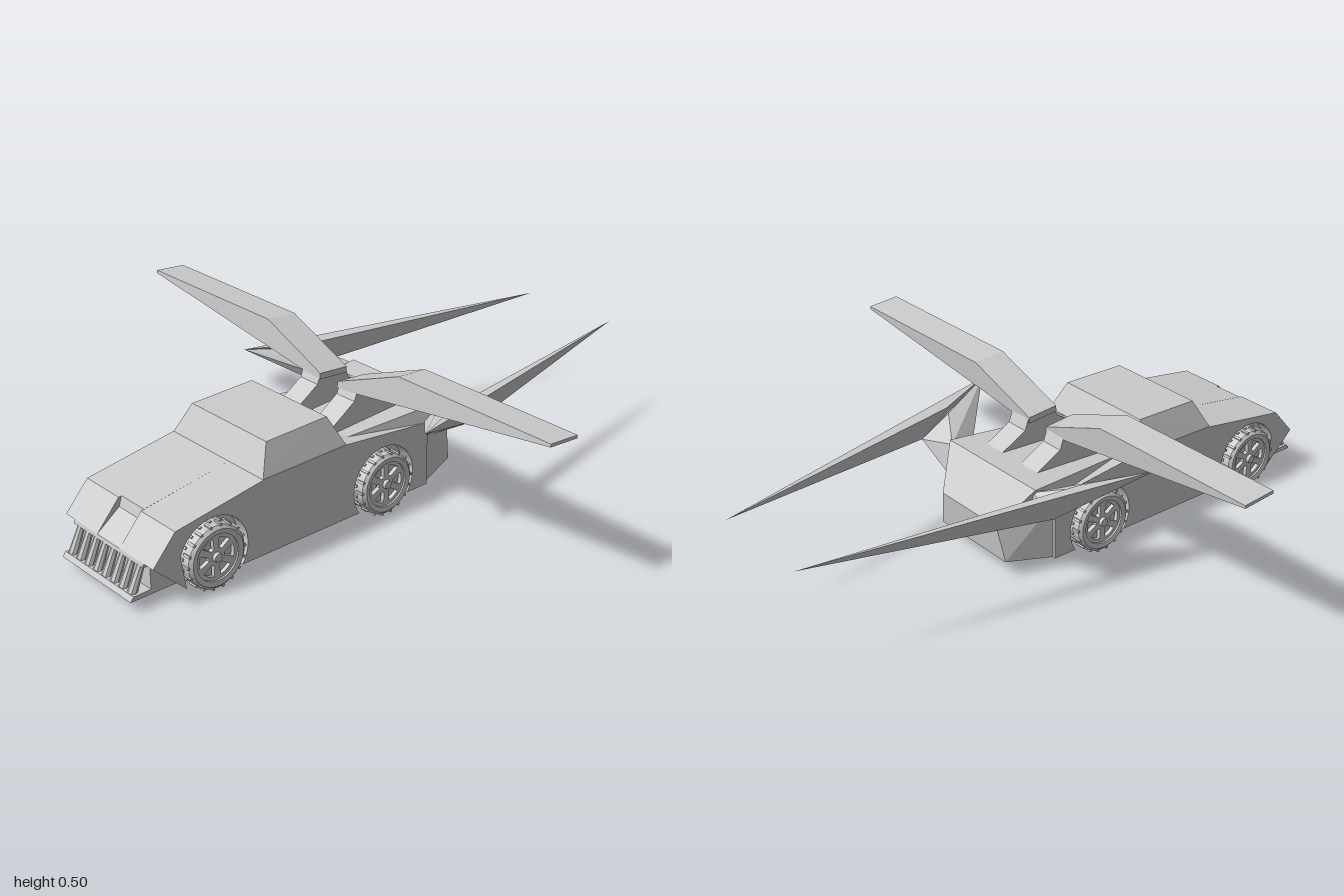
import * as THREE from 'three';
import { ConvexGeometry } from 'three/addons/geometries/ConvexGeometry.js';
import { mergeGeometries } from 'three/addons/utils/BufferGeometryUtils.js';

const material = new THREE.MeshStandardMaterial({ color: 0xcccccc, flatShading: true });

function add(parent, name, geometry) {
  const mesh = new THREE.Mesh(geometry, material);
  mesh.name = name;
  parent.add(mesh);
  return mesh;
}

const shapeOf = (pts) => new THREE.Shape(pts.map(([x, y]) => new THREE.Vector2(x, y)));

// Extrude a side-on (x, y) shape between two z planes.
function slab(shape, z0, z1) {
  const g = new THREE.ExtrudeGeometry(shape, { depth: Math.abs(z1 - z0), bevelEnabled: false, curveSegments: 20 });
  return g.translate(0, 0, Math.min(z0, z1));
}

// Convex solid; s mirrors the points across the centre plane.
const hull = (pts, s = 1) => new ConvexGeometry(pts.map(([x, y, z]) => new THREE.Vector3(x, y, z * s)));

// Convex solid from points that appear on both sides.
const symmetricHull = (pts) => hull([...pts, ...pts.map(([x, y, z]) => [x, y, -z])]);

const WHEELS = [-0.74, -0.085];
const AXLE_Y = 0.105;

function wheelGeometry() {
  // Tyre, axis along z
  const tyre = new THREE.LatheGeometry([
    [0.074, -0.03], [0.09, -0.033], [0.1, -0.024], [0.1, 0.024], [0.09, 0.033], [0.074, 0.03], [0.074, -0.03],
  ].map(([r, h]) => new THREE.Vector2(r, h)), 36).rotateX(Math.PI / 2).toNonIndexed();
  // Rim disc with six openings
  const disc = new THREE.Shape().absarc(0, 0, 0.077, 0, Math.PI * 2);
  for (let i = 0; i < 6; i++) {
    const a = (i * Math.PI) / 3;
    const hole = new THREE.Path();
    hole.absarc(0, 0, 0.062, a - 0.34, a + 0.34, false);
    hole.absarc(0, 0, 0.028, a + 0.2, a - 0.2, true);
    hole.closePath();
    disc.holes.push(hole);
  }
  const parts = [tyre, slab(disc, 0.01, 0.024)];
  parts.push(new THREE.CylinderGeometry(0.076, 0.076, 0.03, 32).rotateX(Math.PI / 2).translate(0, 0, -0.012).toNonIndexed());
  parts.push(new THREE.CylinderGeometry(0.013, 0.016, 0.012, 12).rotateX(Math.PI / 2).translate(0, 0, 0.028).toNonIndexed());
  // Tread lugs, staggered left and right
  for (let i = 0; i < 36; i++) {
    parts.push(new THREE.BoxGeometry(0.008, 0.009, 0.028)
      .translate(0, 0.1, i % 2 ? 0.013 : -0.013)
      .rotateZ((i * Math.PI) / 18).toNonIndexed());
  }
  return mergeGeometries(parts);
}

function buildBody(car) {
  const top = [[0.1, 0.25], [-0.235, 0.285], [-0.55, 0.28], [-0.87, 0.23]];

  // Outer flanks with wheel arches
  const flank = new THREE.Shape();
  flank.moveTo(-1, 0.035);
  const r = 0.122;
  const a = Math.asin((AXLE_Y - 0.035) / r);
  for (const x of WHEELS) flank.absarc(x, AXLE_Y, r, Math.PI + a, -a, true);
  flank.lineTo(0.1, 0.035);
  for (const [x, y] of [...top, [-0.95, 0.14]]) flank.lineTo(x, y);
  flank.closePath();

  // Core with the grille recess; the middle strip also has the bonnet notch
  const grille = [[-0.95, 0.14], [-0.953, 0.128], [-0.93, 0.125], [-0.93, 0.05], [-0.99, 0.05], [-1, 0.035]];
  const core = shapeOf([[0.1, 0.035], ...top, ...grille]);
  const notch = shapeOf([[0.1, 0.035], ...top.slice(0, 3), [-0.86, 0.232], [-0.87, 0.2], [-0.94, 0.148], ...grille]);
  add(car, 'bonnetNotch', slab(notch, -0.055, 0.055));
  for (const s of [1, -1]) {
    add(car, 'bodyCore', slab(core, 0.055 * s, 0.17 * s));
    add(car, 'bodyFlank', slab(flank, 0.17 * s, 0.215 * s));
  }

  // Grille bars
  for (let i = 0; i < 8; i++) {
    const bar = add(car, 'grilleBar', new THREE.CylinderGeometry(0.011, 0.015, 0.09, 8));
    bar.position.set(-0.96, 0.088, (i - 3.5) * 0.042);
    bar.rotation.z = -0.42;
  }

  add(car, 'cabin', symmetricHull([
    [-0.557, 0.275, 0.215], [-0.235, 0.28, 0.215], [-0.51, 0.372, 0.175], [-0.28, 0.378, 0.175],
  ]));
  add(car, 'rearDeck', symmetricHull([
    [-0.2, 0.28, 0.17], [0.175, 0.302, 0.212], [0.09, 0.25, 0.215], [0.15, 0.2, 0.2], [0.24, 0.18, 0.14], [0.265, 0.175, 0.135],
  ]));
  add(car, 'tailBlock', symmetricHull([
    [0.08, 0.035, 0.212], [0.08, 0.25, 0.212], [0.14, 0.05, 0.185], [0.14, 0.24, 0.185],
    [0.25, 0.055, 0.16], [0.265, 0.175, 0.135],
  ]));
}

function buildWing(car, s) {
  // Neck rising from the rear deck
  const neck = shapeOf([[-0.235, 0.27], [-0.235, 0.287], [-0.125, 0.36], [-0.112, 0.392], [-0.01, 0.386],
    [0.005, 0.345], [0.1, 0.295], [0.1, 0.25]]);
  add(car, 'wingNeck', slab(neck, 0.045 * s, 0.125 * s));

  // Cranked wing: (z, y) section swept along x, leaning slightly back
  const section = [[0.04, 0.375], [0.04, 0.395], [0.3, 0.495], [0.895, 0.495], [0.895, 0.485], [0.11, 0.38]];
  const wing = new THREE.ExtrudeGeometry(
    shapeOf(section.map(([z, y]) => [-z * s, y - 0.49])), { depth: 0.11, bevelEnabled: false });
  wing.rotateY(Math.PI / 2).translate(-0.055, 0, 0).rotateZ(-0.08).translate(-0.055, 0.487, 0);
  add(car, 'wing', wing);
}

function buildBlade(car, s) {
  const root = [-0.115, 0.355, 0.42];
  const keel = [0.2, 0.265, 0.33];
  const inner = [0.1, 0.345, 0.33];
  add(car, 'tailBlade', hull([root, keel, inner, [1, 0.33, 0.18]], s));
  add(car, 'bladeStrut', hull([root, keel, [0.1, 0.33, 0.32],
    [0.09, 0.255, 0.21], [0.14, 0.185, 0.19], [0.175, 0.29, 0.2], [0.19, 0.17, 0.17]], s));
}

export function createModel() {
  const car = new THREE.Group();
  car.name = 'wingedCar';
  buildBody(car);
  const wheel = wheelGeometry();
  for (const s of [1, -1]) {
    buildWing(car, s);
    buildBlade(car, s);
    for (const x of WHEELS) {
      const mesh = add(car, x < -0.5 ? 'frontWheel' : 'rearWheel', wheel);
      mesh.position.set(x, AXLE_Y, 0.203 * s);
      if (s < 0) mesh.rotation.y = Math.PI;
    }
  }
  return car;
}
